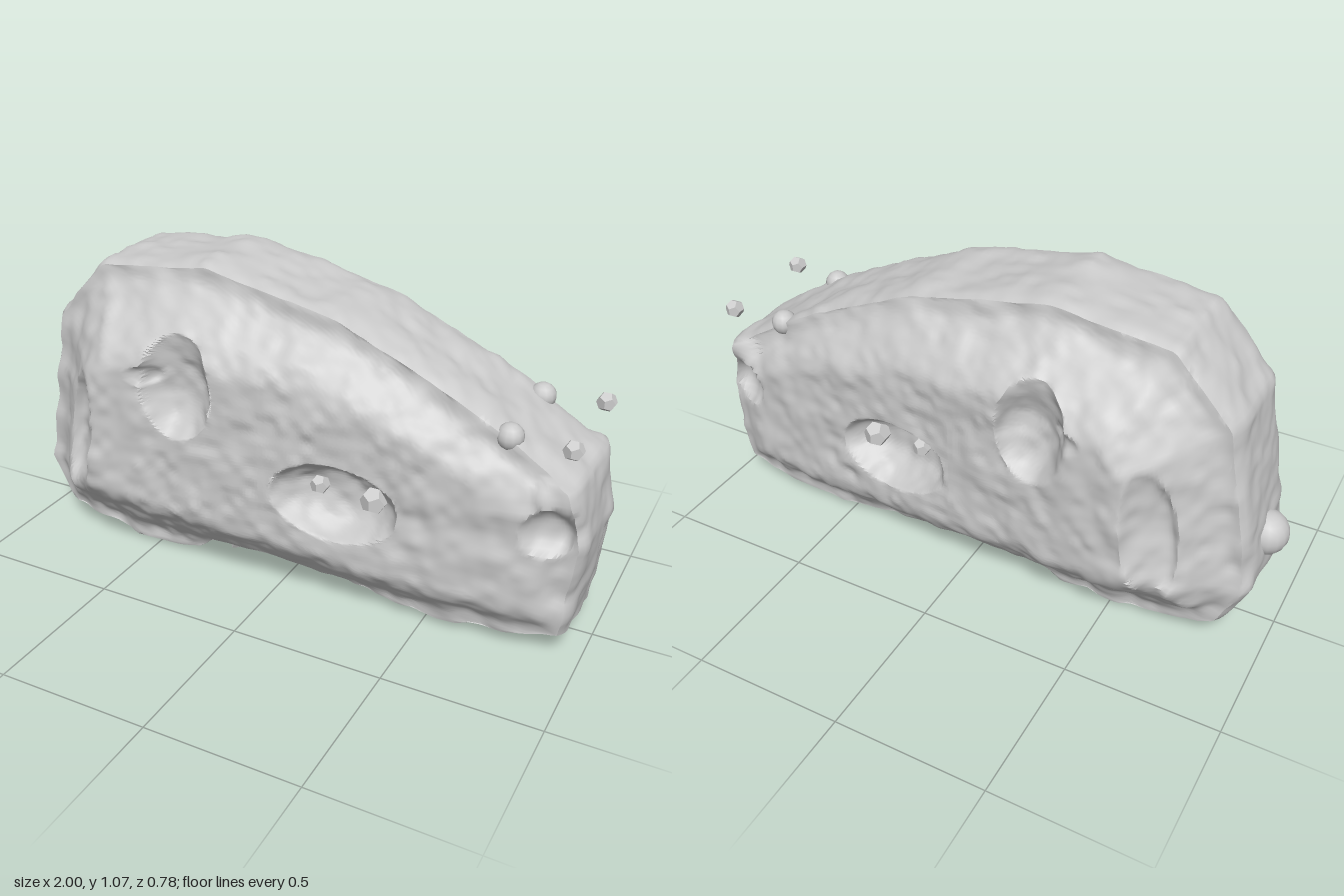
import * as THREE from 'three';
import { mergeVertices, toCreasedNormals } from 'three/addons/utils/BufferGeometryUtils.js';

const material = new THREE.MeshStandardMaterial({ color: 0xcccccc, roughness: 0.9, side: THREE.DoubleSide });
const toPoints = (list) => list.map(([x, y]) => new THREE.Vector2(x, y));

// Side silhouette, clockwise from the rear; the bevel ignores the hollow in the belly
const HULL = toPoints([
  [-0.95, 0.25], [-0.92, 0.45], [-0.85, 0.82], [-0.66, 1.03], [-0.5, 1.045], [-0.27, 1.075], [0, 1.02],
  [0.2, 0.98], [0.5, 0.85], [0.75, 0.715], [0.95, 0.59], [0.99, 0.4], [0.955, 0.085], [0.85, 0.055],
  [0.55, 0.022], [-0.55, 0.015], [-0.87, 0.075],
]);
const HOLLOW = toPoints([[0.4, 0.045], [0.2, 0.085], [0, 0.11], [-0.25, 0.1], [-0.33, 0.035]]);
const OUTLINE = [...HULL.slice(0, 15), ...HOLLOW, ...HULL.slice(15)];
const RIM = 0.175;

// Craters on both flanks: centre, radii, depth and tilt; negative depth is a bump
const CRATERS = [
  { x: -0.285, y: 0.715, rx: 0.12, ry: 0.17, depth: 0.08, tilt: 0 },
  { x: -0.4, y: 0.74, rx: 0.05, ry: 0.035, depth: 0.02, tilt: 0 },
  { x: 0.23, y: 0.42, rx: 0.205, ry: 0.13, depth: 0.1, tilt: -0.1 },
  { x: -0.67, y: 0.47, rx: 0.07, ry: 0.24, depth: 0.055, tilt: -0.15 },
  { x: 0.88, y: 0.45, rx: 0.08, ry: 0.075, depth: 0.045, tilt: 0 },
  { x: 0.91, y: 0.57, rx: 0.09, ry: 0.06, depth: -0.025, tilt: 0 },
];

// Smooth lattice noise in -1..1
function hash(i, j, k) {
  const s = Math.sin(i * 127.1 + j * 311.7 + k * 74.7) * 43758.5453;
  return (s - Math.floor(s)) * 2 - 1;
}
function noise(x, y, z) {
  const c = [x, y, z].map(Math.floor);
  const [u, v, w] = [x - c[0], y - c[1], z - c[2]].map((t) => t * t * (3 - 2 * t));
  let sum = 0;
  for (let n = 0; n < 8; n++) {
    const a = n & 1, b = (n >> 1) & 1, d = n >> 2;
    sum += hash(c[0] + a, c[1] + b, c[2] + d) * (a ? u : 1 - u) * (b ? v : 1 - v) * (d ? w : 1 - w);
  }
  return sum;
}

function edgeDistance(x, y) {
  let best = Infinity;
  HULL.forEach((a, i) => {
    const b = HULL[(i + 1) % HULL.length];
    const dx = b.x - a.x, dy = b.y - a.y;
    const t = THREE.MathUtils.clamp(((x - a.x) * dx + (y - a.y) * dy) / (dx * dx + dy * dy), 0, 1);
    best = Math.min(best, Math.hypot(x - a.x - t * dx, y - a.y - t * dy));
  });
  return best;
}

// Half thickness: bevelled edge up to a flank that tapers forward, less the craters
function halfDepth(x, y) {
  const flank = 0.382 - Math.max(0, x + 0.6) * 0.107;
  const d = edgeDistance(x, y) - 0.06;
  const bevel = RIM + 0.48 * (d + Math.hypot(d, 0.025));
  const soft = 0.04;
  const blend = Math.max(soft - Math.abs(flank - bevel), 0) / soft;
  let z = Math.min(flank, bevel) - blend * blend * soft / 4;
  for (const c of CRATERS) {
    const dx = x - c.x, dy = y - c.y, cs = Math.cos(c.tilt), sn = Math.sin(c.tilt);
    const r = Math.hypot((dx * cs + dy * sn) / c.rx, (dy * cs - dx * sn) / c.ry);
    z -= c.depth * Math.max(0, 1 - r * r * r);
  }
  return z;
}

function bodyGeometry() {
  const M = 260, RINGS = 90, STRIPS = 20, ROUND = 0.025;
  const shape = new THREE.Shape(OUTLINE);
  shape.closePath();
  const edge = shape.getSpacedPoints(M).slice(0, M);
  const scaled = (p, s) => [p.x * s, 0.5 + (p.y - 0.5) * s];
  const flank = [];
  for (let j = 0; j <= RINGS; j++) {
    flank.push(edge.map((p) => {
      const [x, y] = scaled(p, (1 - ROUND) * j / RINGS);
      return [x, y, halfDepth(x, y)];
    }));
  }
  // Front flank, slightly rounded rim band, then the mirrored flank
  const rows = [...flank];
  for (let k = 1; k < STRIPS; k++) {
    const t = 1 - 2 * k / STRIPS;
    rows.push(edge.map((p, i) => [...scaled(p, 1 - ROUND * t ** 6), flank[RINGS][i][2] * t]));
  }
  for (let j = RINGS; j >= 0; j--) rows.push(flank[j].map(([x, y, z]) => [x, y, -z]));
  const index = [];
  for (let r = 0; r < rows.length - 1; r++) {
    for (let i = 0; i < M; i++) {
      const a = r * M + i, b = r * M + (i + 1) % M;
      index.push(a, b, a + M, b, b + M, a + M);
    }
  }
  let g = new THREE.BufferGeometry();
  g.setAttribute('position', new THREE.Float32BufferAttribute(rows.flat(2), 3));
  g.setIndex(index);
  g = mergeVertices(g, 1e-5);
  g.computeVertexNormals();
  // Weathered surface
  const p = g.attributes.position, n = g.attributes.normal;
  for (let i = 0; i < p.count; i++) {
    const x = p.getX(i), y = p.getY(i), z = p.getZ(i);
    const d = 0.008 * noise(x * 12, y * 12, z * 12) + 0.005 * noise(x * 26 + 9, y * 26, z * 26);
    p.setXYZ(i, x + n.getX(i) * d, y + n.getY(i) * d, z + n.getZ(i) * d);
  }
  g.deleteAttribute('normal');
  return toCreasedNormals(g, 0.8);
}

export function createModel() {
  const group = new THREE.Group();
  const add = (name, geometry, x = 0, y = 0, z = 0) => {
    const mesh = new THREE.Mesh(geometry, material);
    mesh.name = name;
    mesh.position.set(x, y, z);
    group.add(mesh);
    return mesh;
  };
  add('rockBody', bodyGeometry());

  // Rear knob
  add('rearKnob', new THREE.SphereGeometry(0.072, 16, 12), -0.928, 0.36, 0);

  // Mirrored pebbles and brow bumps
  const pebble = (r) => toCreasedNormals(new THREE.DodecahedronGeometry(r), 0.3);
  for (const s of [1, -1]) {
    add('craterPebbleSmall', pebble(0.032), 0.16, 0.44, s * 0.225);
    add('craterPebbleLarge', pebble(0.045), 0.34, 0.425, s * 0.215);
    add('loosePebble', pebble(0.032), 0.92, 0.72, s * 0.177);
    add('browBump', new THREE.SphereGeometry(0.042, 12, 8), 0.73, 0.71, s * 0.155);
  }

  // Broken slivers under the belly
  for (let i = 0; i < 5; i++) {
    const sliver = add('bellySliver', new THREE.TetrahedronGeometry(0.03), -0.32 + i * 0.025, 0.06 - (i % 2) * 0.01, -0.12 + i * 0.06);
    sliver.scale.set(1.6, 0.35, 1);
    sliver.rotation.set(i * 0.4, i * 2, 0.3);
  }
  return group;
}
